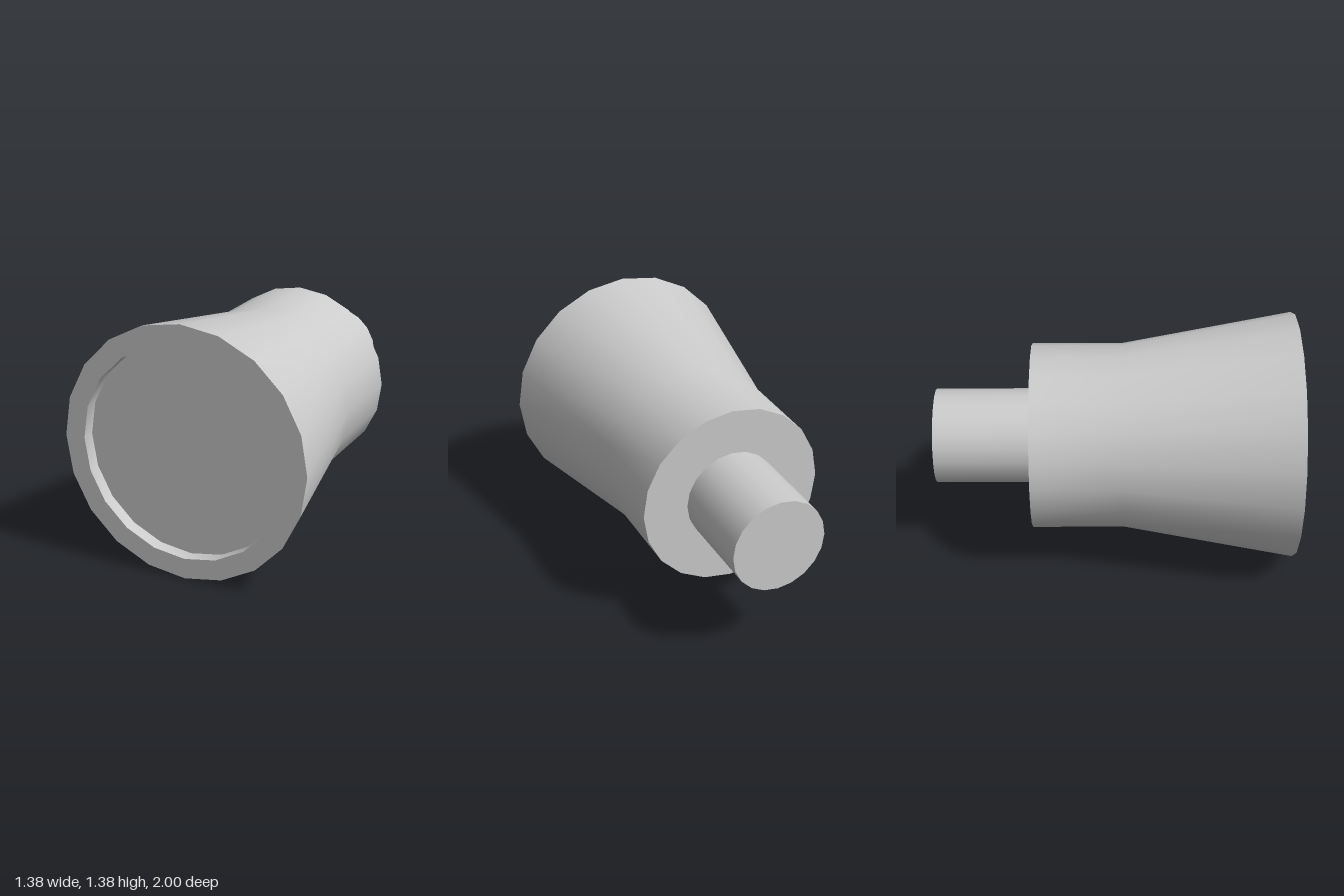
import * as THREE from 'three';
import { toCreasedNormals } from 'three/addons/utils/BufferGeometryUtils.js';

const SIDES = 20;
const AXIS_Y = 0.692; // height of the horizontal axis
const SHAFT_R = 0.265;
const RECESS_R = 0.58;
const RECESS_Z = 0.925;

export function createModel() {
  const model = new THREE.Group();
  const material = new THREE.MeshStandardMaterial({ color: 0xcccccc });

  const add = (name, geometry) => {
    const mesh = new THREE.Mesh(geometry, material);
    mesh.name = name;
    mesh.position.y = AXIS_Y;
    model.add(mesh);
  };

  // Flared body: rear shoulder, collar, widening bell, front rim and recess wall
  const profile = [
    [SHAFT_R, -0.46], [0.52, -0.46], [0.52, 0.05],
    [0.692, 1], [RECESS_R, 1], [RECESS_R, RECESS_Z],
  ].map(([r, z]) => new THREE.Vector2(r, z));
  const body = new THREE.LatheGeometry(profile, SIDES).rotateX(Math.PI / 2);
  add('flaredBody', toCreasedNormals(body, Math.PI / 6));

  // Flat face set slightly back inside the rim
  add('frontFace', new THREE.CircleGeometry(RECESS_R, SIDES).translate(0, 0, RECESS_Z));

  // Shaft sticking out of the rear shoulder
  const shaft = new THREE.CylinderGeometry(SHAFT_R, SHAFT_R, 0.54, SIDES);
  add('rearShaft', shaft.rotateX(Math.PI / 2).translate(0, 0, -0.73));

  return model;
}
